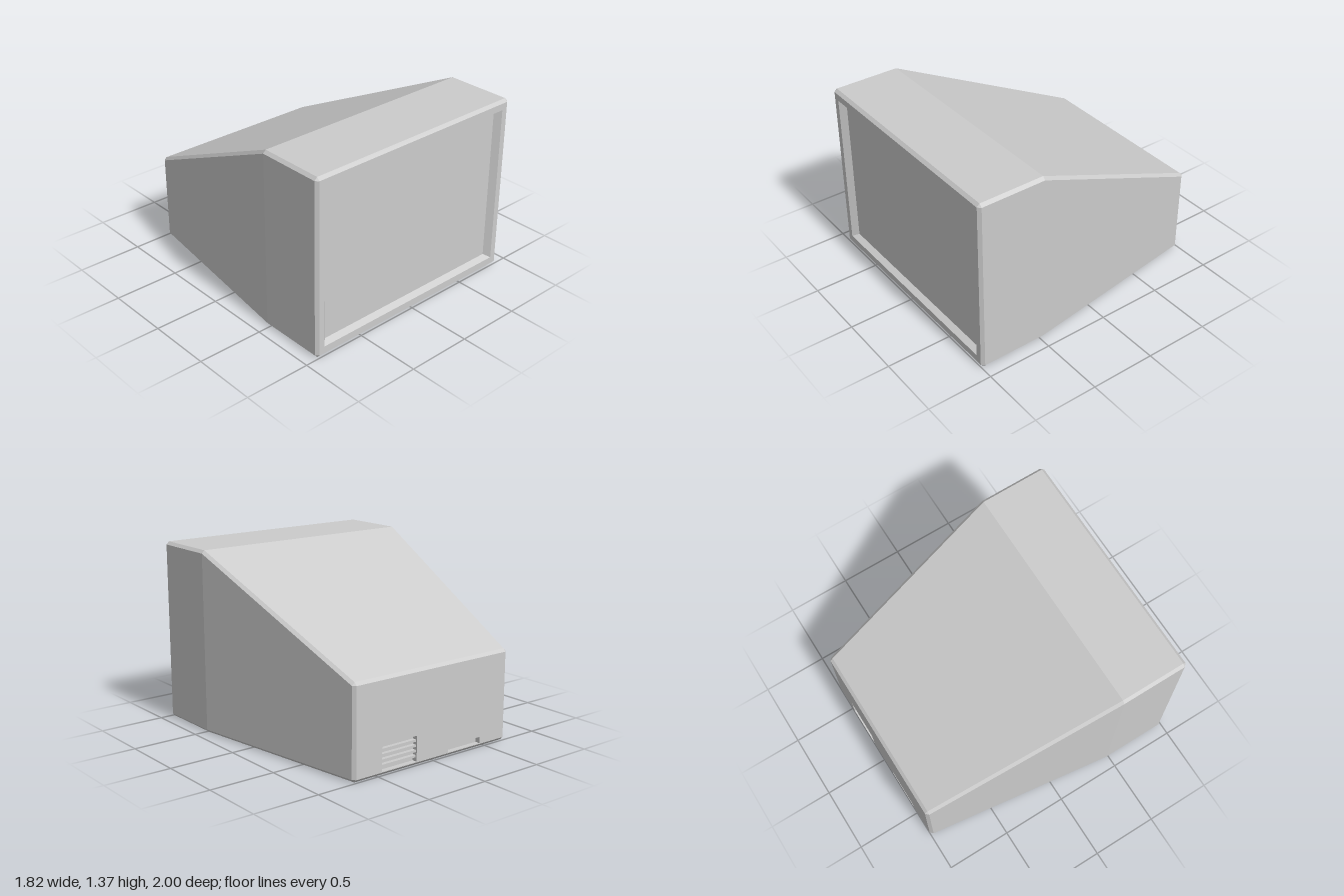
import * as THREE from 'three';

const grey = new THREE.MeshStandardMaterial({ color: 0xcccccc, flatShading: true });
const C = 0.022; // edge chamfer

// Rectangle with cut corners, counter-clockwise seen from +z
function ring(x0, x1, y0, y1, z, c = 0) {
  const pts = [[x0 + c, y0], [x1 - c, y0], [x1, y0 + c], [x1, y1 - c],
    [x1 - c, y1], [x0 + c, y1], [x0, y1 - c], [x0, y0 + c]];
  return pts.map(([x, y]) => [x, y, z]);
}

// Skin between rings; faces outward when rings run from front to back
function loft(rings) {
  const pos = [];
  for (let s = 0; s < rings.length - 1; s++) {
    const n = rings[s].length;
    for (let i = 0; i < n; i++) {
      const j = (i + 1) % n;
      const a = rings[s][i], b = rings[s][j], c = rings[s + 1][j], d = rings[s + 1][i];
      pos.push(...a, ...d, ...c, ...a, ...c, ...b);
    }
  }
  const g = new THREE.BufferGeometry();
  g.setAttribute('position', new THREE.Float32BufferAttribute(pos, 3));
  g.computeVertexNormals();
  return g;
}

const corners = (x0, x1, y0, y1) =>
  [[x0, y0], [x1, y0], [x1, y1], [x0, y1]].map(([x, y]) => new THREE.Vector2(x, y));

// Flat panel with rectangular holes, facing +z, or -z when back is true
function panel(rect, holes, z, back = false) {
  const flip = ([x0, x1, y0, y1]) => (back ? [-x1, -x0, y0, y1] : [x0, x1, y0, y1]);
  const shape = new THREE.Shape(corners(...flip(rect)));
  holes.forEach(h => shape.holes.push(new THREE.Path(corners(...flip(h)).reverse())));
  const g = new THREE.ShapeGeometry(shape);
  if (back) g.rotateY(Math.PI);
  return g.translate(0, 0, z);
}

export function createModel() {
  const model = new THREE.Group();
  const add = (name, geometry, parent = model) => {
    const m = new THREE.Mesh(geometry, grey);
    m.name = name;
    parent.add(m);
    return m;
  };

  // Chamfered housing: straight front box, tapering to the back
  const W = 0.908, H = 1.368, BW = 0.708, BH = 0.688;
  add('housing', loft([
    ring(-W + C, W - C, C, H - C, 1),
    ring(-W, W, 0, H, 1 - C, C),
    ring(-W, W, 0, H, 0.48, C),
    ring(-BW, BW, 0, BH, -1 + C, C),
    ring(-BW + C, BW - C, C, BH - C, -1),
  ]));

  // Front frame, sloping inner rim and recessed screen
  const mouth = [-0.84, 0.84, 0.075, 1.295], glass = [-0.8, 0.8, 0.1, 1.27];
  const screenZ = 0.957;
  add('frontBezel', panel([-W + C, W - C, C, H - C], [mouth], 1));
  add('screenRim', loft([ring(...glass, screenZ), ring(...mouth, 1)]));
  add('screen', panel(glass, [], screenZ));

  // Back panel with two recessed openings
  const vent = [0.155, 0.465, 0.027, 0.215], socket = [-0.45, -0.14, 0.027, 0.075];
  const deepZ = -0.96;
  add('backPanel', panel([-BW + C, BW - C, C, BH - C], [vent, socket], -1, true));
  for (const [name, rect] of [['vent', vent], ['socket', socket]]) {
    add(name + 'Walls', loft([ring(...rect, -1), ring(...rect, deepZ)]));
    add(name + 'Floor', panel(rect, [], deepZ, true));
  }

  // Horizontal slats across the vent
  const slats = new THREE.Group();
  slats.name = 'ventSlats';
  model.add(slats);
  const pitch = (vent[3] - vent[2]) / 5;
  for (let i = 0; i < 4; i++) {
    const slat = add('slat', new THREE.BoxGeometry(vent[1] - vent[0], 0.016, 0.03), slats);
    slat.position.set((vent[0] + vent[1]) / 2, vent[2] + pitch * (i + 1), -0.975);
  }
  return model;
}
